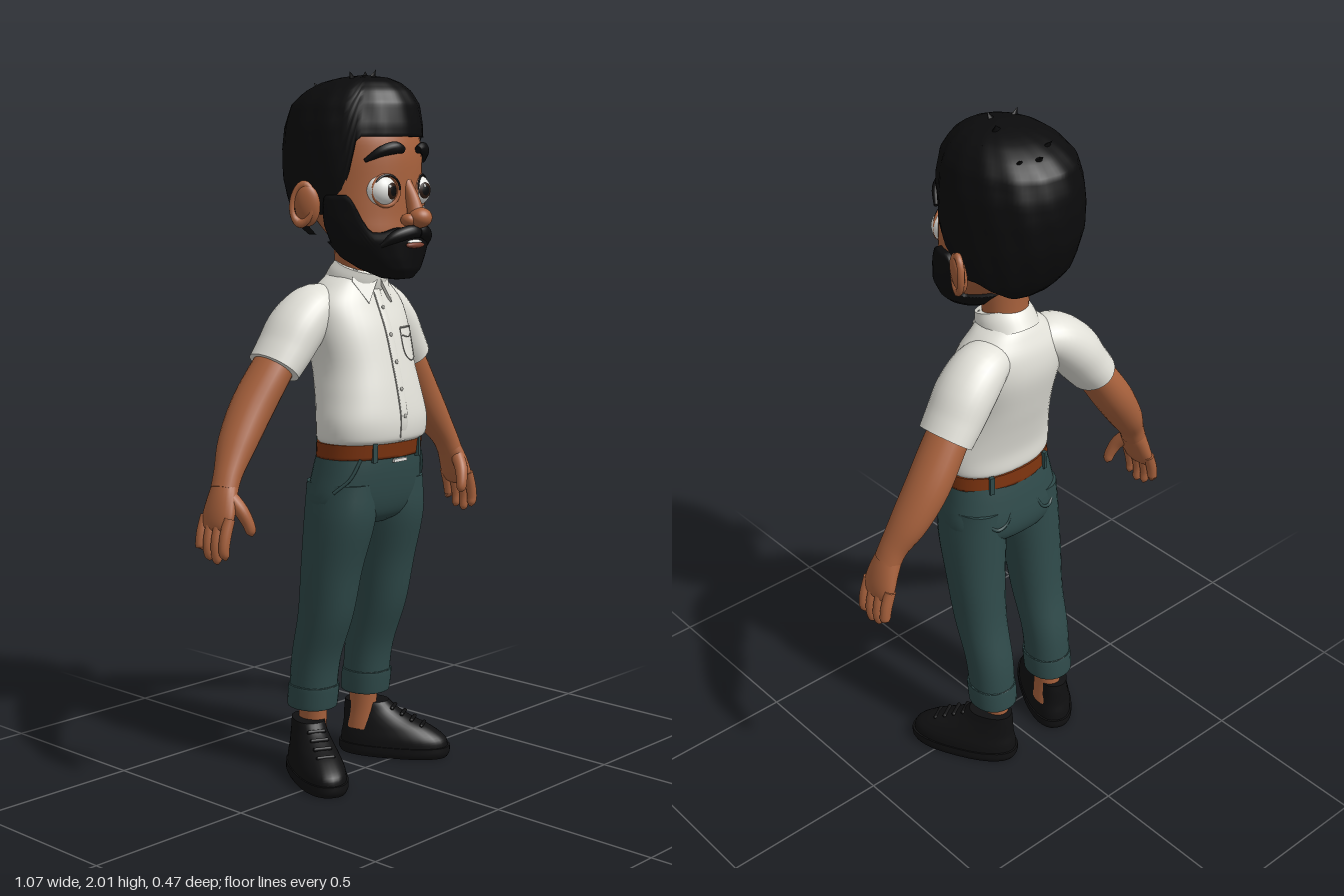
import * as THREE from 'three';

const mat = (name, color, side = THREE.FrontSide) => {
  const m = new THREE.MeshStandardMaterial({ color, side });
  m.name = name;
  return m;
};

// Surface from a grid of points; flip reverses the facing
function gridGeometry(rings, flip, caps) {
  const pos = [], idx = [], n = rings[0].length;
  rings.forEach(r => r.forEach(p => pos.push(p.x, p.y, p.z)));
  const tri = (a, b, c) => flip ? idx.push(a, c, b) : idx.push(a, b, c);
  for (let i = 0; i < rings.length - 1; i++) for (let j = 0; j < n; j++) {
    const k = (j + 1) % n, a = i * n + j, b = i * n + k;
    tri(a, a + n, b);
    tri(b, a + n, b + n);
  }
  if (caps) [rings[0], rings[rings.length - 1]].forEach((r, end) => {
    const base = pos.length / 3, c = new THREE.Vector3();
    r.forEach(p => { c.add(p); pos.push(p.x, p.y, p.z); });
    c.divideScalar(n);
    pos.push(c.x, c.y, c.z);
    for (let j = 0; j < n; j++) {
      const a = base + j, b = base + (j + 1) % n;
      end ? tri(a, base + n, b) : tri(a, b, base + n);
    }
  });
  const g = new THREE.BufferGeometry();
  g.setAttribute('position', new THREE.Float32BufferAttribute(pos, 3));
  g.setIndex(idx);
  g.computeVertexNormals();
  return g;
}

// Smooth loft through rows [x, y, z, sideRadius, depthRadius]; flat keeps rings level
function loft(rows, { flat = false, n = 24, seg = 5, e = 2 } = {}) {
  const path = new THREE.CatmullRomCurve3(rows.map(r => new THREE.Vector3(r[0], r[1], r[2])), false, 'catmullrom', 0.5);
  const size = new THREE.CatmullRomCurve3(rows.map(r => new THREE.Vector3(r[3], r[4], 0)), false, 'catmullrom', 0.5);
  const count = (rows.length - 1) * seg, rings = [], Z = new THREE.Vector3(0, 0, 1);
  const bend = v => Math.sign(v) * Math.abs(v) ** (2 / e);
  for (let i = 0; i <= count; i++) {
    const c = path.getPoint(i / count), s = size.getPoint(i / count), t = path.getTangent(i / count);
    if (flat) t.set(0, Math.sign(t.y), 0);
    const side = new THREE.Vector3().crossVectors(t, Z).normalize();
    const depth = new THREE.Vector3().crossVectors(side, t);
    rings.push(Array.from({ length: n }, (_, j) => {
      const a = j / n * Math.PI * 2;
      return c.clone().addScaledVector(side, s.x * bend(Math.cos(a))).addScaledVector(depth, s.y * bend(Math.sin(a)));
    }));
  }
  return gridGeometry(rings, false, true);
}

// Linear lookup in rows keyed by their first number
function sample(rows, y) {
  let i = 0;
  const up = rows[0][0] < rows[1][0];
  while (i < rows.length - 2 && (up ? rows[i + 1][0] < y : rows[i + 1][0] > y)) i++;
  const t = THREE.MathUtils.clamp((y - rows[i][0]) / (rows[i + 1][0] - rows[i][0]), 0, 1);
  return rows[i].map((v, k) => v + (rows[i + 1][k] - v) * t);
}

// Hair shell from a pole to an edge height that varies around the head; rows [y, rx, cz, rz]
function shell(rows, edge, ridge) {
  const n = 90, m = 26, rings = [], y0 = rows[0][0];
  for (let k = 0; k <= m + 1; k++) rings.push(Array.from({ length: n }, (_, j) => {
    const a = j / n * Math.PI * 2, deg = Math.min(j, n - j) / n * 360;
    const y = y0 + (edge(deg) - y0) * Math.min(k / m, 1) ** 1.6;
    const [, rx, cz, rz] = sample(rows, y);
    const f = (k > m ? 0.82 : 1) * (1 + ridge * Math.sin(a * 15 + y * 22));
    return new THREE.Vector3(rx * f * Math.sin(a), y, cz + rz * f * Math.cos(a));
  }));
  return gridGeometry(rings, rows[1][0] > y0, false);
}

export function createModel() {
  const M = {
    skin: mat('skin', 0xa9623d), hair: mat('black hair', 0x0b0b0c), shirt: mat('off white shirt', 0xe2e1d9),
    seam: mat('shirt seam', 0xa9a8a1), pants: mat('teal trousers', 0x2f4a4a), belt: mat('brown leather', 0x7c330f),
    shoe: mat('black shoe', 0x101011), white: mat('eye white', 0xeeeeea), iris: mat('dark iris', 0x2b1a12),
    lip: mat('lip', 0x7d4030),
  };
  const model = new THREE.Group();
  model.name = 'man';
  const add = (parent, name, geo, material, p = [0, 0, 0], s = [1, 1, 1], r = [0, 0, 0]) => {
    const mesh = new THREE.Mesh(geo, material);
    mesh.name = name;
    mesh.position.set(...p); mesh.scale.set(...s); mesh.rotation.set(...r);
    parent.add(mesh);
    return mesh;
  };
  const ball = new THREE.SphereGeometry(1, 28, 20);
  const group = name => { const g = new THREE.Group(); g.name = name; model.add(g); return g; };
  const smooth = THREE.MathUtils.smoothstep;
  const level = rows => rows.map(([y, rx, cz, rz]) => [0, y, cz, rx, rz]);

  // Head
  const head = group('head');
  head.position.x = -0.013;
  head.rotation.y = 0.06;
  add(head, 'skull', loft(level([[1.47, .06, .1, .05], [1.5, .115, .07, .09], [1.56, .15, .05, .118], [1.62, .164, .02, .146],
    [1.7, .167, 0, .168], [1.78, .166, -.005, .173], [1.84, .162, -.01, .166], [1.91, .13, -.015, .14], [1.95, .06, -.02, .07]]), { flat: true, n: 40 }), M.skin);
  const hair = add(head, 'hair', shell([[2, 0, .01, 0], [1.992, .065, .005, .07], [1.978, .105, -.005, .115], [1.955, .135, -.015, .155], [1.92, .163, -.025, .187],
    [1.86, .182, -.03, .2], [1.8, .187, -.032, .203], [1.72, .186, -.035, .197], [1.66, .18, -.042, .17], [1.6, .165, -.05, .135], [1.55, .13, -.045, .09]],
    d => 1.83 - .21 * smooth(d, 50, 63) - .06 * smooth(d, 95, 150), .008), M.hair);
  hair.rotation.y = 0.03;
  add(head, 'beard', shell([[1.44, 0, .125, 0], [1.445, .045, .125, .043], [1.47, .09, .1, .083], [1.5, .125, .075, .11], [1.55, .16, .055, .133],
    [1.6, .174, .035, .147], [1.68, .181, .015, .16]],
    d => 1.585 - .012 * smooth(d, 18, 40) + .1 * smooth(d, 48, 68) - .13 * smooth(d, 88, 115), .004), M.hair);
  // Hair tufts [x, y, z, tilt back, tilt sideways]
  [[.03, 1.945, -.155, -.9, -.2], [-.02, 1.955, -.13, -.7, .2], [.07, 1.94, -.13, -.8, -.5], [.04, 1.985, -.02, -.5, -.5],
    [-.06, 1.975, .02, .1, .6], [0, 1.98, .03, .3, -.3], [.08, 1.95, -.03, -.3, -.8]].forEach(([x, y, z, rx, rz]) =>
    add(head, 'hairTuft', new THREE.ConeGeometry(.028, .075, 10), M.hair, [x, y, z], [1.2, 1, .7], [rx, 0, rz]));

  // Nose and mouth
  add(head, 'noseBridge', loft([[0, 1.71, .158, .014, .012], [0, 1.66, .18, .019, .02], [0, 1.61, .195, .026, .026]], { n: 16 }), M.skin);
  add(head, 'noseTip', ball, M.skin, [0, 1.612, .206], [.033, .028, .033]);
  add(head, 'lowerLip', ball, M.lip, [0, 1.537, .189], [.038, .009, .012]);
  add(head, 'teeth', ball, M.white, [0, 1.546, .187], [.03, .006, .009]);

  for (const s of [-1, 1]) {
    add(head, 'nostril', ball, M.skin, [s * .028, 1.606, .186], [.019, .018, .022]);
    add(head, 'moustache', loft([[0, 1.572, .198, .016, .014], [s * .03, 1.573, .194, .019, .017], [s * .07, 1.56, .173, .017, .016],
      [s * .1, 1.538, .146, .008, .01]], { n: 14 }), M.hair);
    // Eyes
    const eye = new THREE.Group();
    eye.name = 'eye';
    eye.position.set(s * .077, 1.685, .126);
    head.add(eye);
    const disc = (r, angle) => new THREE.SphereGeometry(r, 24, 8, 0, Math.PI * 2, 0, angle);
    add(eye, 'eyeball', ball, M.white, [0, 0, 0], [.045, .045, .045]);
    const look = [Math.PI / 2 + .02, 0, s * .12];
    add(eye, 'iris', disc(.0458, .52), M.iris, [0, 0, 0], [1, 1, 1], look);
    add(eye, 'pupil', disc(.0464, .3), M.hair, [0, 0, 0], [1, 1, 1], look);
    add(eye, 'highlight', ball, M.white, [-.01, .012, .0435], [.005, .005, .003]);
    add(eye, 'eyelid', new THREE.TorusGeometry(.041, .006, 8, 32), M.skin, [0, 0, .022], [1, 1, 1], [0, s * .35, 0]);
    add(eye, 'lashLine', new THREE.TorusGeometry(.04, .0035, 6, 20, Math.PI), M.hair, [0, .002, .027], [1, 1, 1], [0, s * .35, 0]);
    add(head, 'eyebrow', loft([[s * .033, 1.795, .171, .01, .01], [s * .06, 1.8, .166, .017, .013], [s * .095, 1.79, .147, .015, .012],
      [s * .128, 1.765, .115, .005, .006]], { n: 12 }), M.hair);
    // Ears
    add(head, 'ear', ball, M.skin, [s * .192, 1.645, -.035], [.02, .058, .036], [0, -s * .45, -s * .15]);
    add(head, 'earRim', new THREE.TorusGeometry(.04, .01, 8, 24), M.skin, [s * .203, 1.648, -.043], [.75, 1.3, 1], [0, Math.PI / 2 - s * .45, -s * .12]);
  }

  // Neck and shirt
  add(model, 'neck', loft([[0, 1.38, -.04, .065, .065], [0, 1.47, -.03, .063, .065], [-.01, 1.6, -.015, .075, .08]], { flat: true }), M.skin);
  const torso = [[.985, .165, .02, .115], [1, .175, .024, .123], [1.05, .177, .025, .125], [1.12, .165, .012, .126], [1.2, .155, -.008, .126],
    [1.3, .163, -.033, .122], [1.37, .158, -.046, .105], [1.42, .115, -.046, .084], [1.45, .078, -.04, .072]];
  add(model, 'shirtBody', loft(level(torso), { flat: true, n: 40, e: 2.3 }), M.shirt);
  const front = (x, y) => {
    const [, rx, cz, rz] = sample(torso, y);
    return cz + rz * (1 - Math.abs(x / rx) ** 2.3) ** (1 / 2.3);
  };
  add(model, 'placket', loft([1.41, 1.37, 1.3, 1.2, 1.12, 1.05, .99].map(y => [0, y, front(0, y), .014, .004]), { n: 12 }), M.shirt);
  const line = (name, pts, material, r = .002) => add(model, name,
    new THREE.TubeGeometry(new THREE.CatmullRomCurve3(pts.map(p => new THREE.Vector3(...p))), 24, r, 6), material);
  line('placketSeam', [1.4, 1.37, 1.3, 1.2, 1.12, 1.05, 1].map(y => [-.014, y, front(.014, y) + .001]), M.seam);
  for (let y = 1.06; y < 1.38; y += .075) add(model, 'button', ball, M.seam, [0, y, front(0, y) + .005], [.006, .006, .003]);
  const onChest = pts => pts.map(([x, y]) => [x, y, front(x, y) + .001]);
  line('pocketTop', onChest([[.05, 1.3], [.075, 1.3], [.1, 1.3], [.125, 1.298]]), M.seam, .0025);
  line('pocketFlap', onChest([[.05, 1.28], [.09, 1.272], [.125, 1.28]]), M.seam);
  line('pocketSides', onChest([[.05, 1.3], [.05, 1.23], [.07, 1.21], [.105, 1.21], [.123, 1.23], [.125, 1.298]]), M.seam, .0015);

  // Collar, higher at the nape
  add(model, 'collarBand', loft([[0, 1.415, -.035, .088, .088], [0, 1.45, -.03, .083, .082], [0, 1.475, -.025, .074, .074]], { flat: true, n: 32 }), M.shirt,
    [0, -.008, 0], [1, 1, 1], [0.0, 0, 0]).geometry.translate(0, -1.44, .03).rotateX(.32).translate(0, 1.45, -.03);
  for (const s of [-1, 1]) {
    const flap = new THREE.Shape([[.004, 0], [.062, .045], [.078, .01], [.048, -.062]].map(([x, y]) => new THREE.Vector2(s * x, y)));
    add(model, 'collarFlap', new THREE.ExtrudeGeometry(flap, { depth: .008, bevelEnabled: false }), M.shirt, [0, 1.435, .048], [1, 1, 1], [-.4, s * .45, 0]);
  }

  // Belt and trousers
  add(model, 'belt', loft([[0, .942, .014, .171, .118], [0, .985, .018, .171, .119]], { flat: true, n: 40, e: 2.2 }), M.belt);
  add(model, 'buckle', new THREE.BoxGeometry(.052, .009, .008), M.white, [0, .934, .132]);
  add(model, 'trouserSeat', loft(level([[.97, .163, .015, .112], [.9, .176, .006, .119], [.82, .187, -.006, .118], [.77, .165, -.01, .1], [.745, .1, -.01, .06]]),
    { flat: true, n: 40, e: 2.3 }), M.pants);

  for (const s of [-1, 1]) {
    const tag = s > 0 ? 'left' : 'right';
    const mirror = rows => rows.map(([x, ...r]) => [s * x, ...r]);
    const part = (name, rows, material, opt) => add(model, tag + name, loft(mirror(rows), opt), material);
    part('TrouserLeg', [[.098, .87, 0, .082, .108], [.103, .76, -.004, .088, .108], [.111, .62, -.027, .08, .092], [.113, .48, -.05, .072, .083],
      [.113, .34, -.09, .067, .072], [.113, .2, -.105, .064, .068]], M.pants, { flat: true, e: 2.2 });
    part('TrouserCuff', [[.113, .265, -.098, .067, .071], [.113, .258, -.099, .07, .074], [.113, .205, -.105, .069, .073], [.113, .197, -.105, .066, .07]], M.pants, { flat: true, e: 2.2 });
    line(tag + 'PocketSeam', mirror([[.125, .945, .1], [.15, .89, .082], [.178, .85, .045]]), M.pants, .005);
    line(tag + 'BackPocketSeam', mirror([[.045, .87, -.112], [.07, .83, -.117], [.1, .82, -.113], [.135, .86, -.085]]), M.pants, .005);
    for (const [x, z] of [[.09, .12], [.1, -.088]]) add(model, 'beltLoop', new THREE.BoxGeometry(.014, .055, .012), M.pants, [s * x, .962, z], [1, 1, 1], [0, s * Math.sign(z) * .3, 0]);
    part('Ankle', [[.107, .08, -.115, .042, .05], [.107, .15, -.11, .036, .045], [.11, .24, -.105, .042, .047]], M.skin, { flat: true });

    // Shoe, toes turned out
    const shoe = group(tag + 'Shoe');
    shoe.position.set(s * .167, .005, -.036);
    shoe.rotation.y = s * .5;
    add(shoe, 'sole', loft([[0, -.005, 0, .068, .163], [0, .008, 0, .073, .17], [0, .028, 0, .073, .17]], { flat: true, n: 32, e: 2.4 }), M.shoe);
    add(shoe, 'upper', loft([[0, .02, 0, .07, .165], [0, .05, -.003, .068, .16], [0, .08, -.022, .06, .135], [0, .105, -.05, .053, .105],
      [0, .13, -.072, .047, .082], [0, .155, -.085, .044, .066]], { flat: true, n: 32, e: 2.3 }), M.shoe);
    for (let i = 0; i < 4; i++) add(shoe, 'lace', new THREE.CapsuleGeometry(.006, .045, 4, 8), M.shoe, [0, .088 + i * .016, .088 - i * .03], [1, 1, 1], [0, 0, Math.PI / 2]);

    // Sleeve and arm
    part('Sleeve', [[.06, 1.37, -.068, .05, .06], [.13, 1.355, -.077, .07, .082], [.19, 1.305, -.085, .076, .09], [.235, 1.245, -.09, .071, .088],
      [.27, 1.2, -.094, .066, .085]], M.shirt, { n: 28 });
    part('Arm', [[.2, 1.29, -.09, .05, .06], [.28, 1.185, -.1, .054, .066], [.345, 1.09, -.108, .056, .066], [.405, 1, -.102, .049, .058],
      [.45, .93, -.088, .037, .044], [.472, .885, -.082, .033, .042]], M.skin);
    // Hand
    part('Palm', [[.46, .91, -.085, .032, .038], [.482, .86, -.08, .03, .05], [.498, .815, -.078, .026, .057], [.508, .785, -.078, .018, .05], [.511, .775, -.078, .006, .03]], M.skin);
    [.705, .69, .697, .722].forEach((tip, i) => {
      const z = -.032 - i * .031;
      part('Finger', [[.5, .815, z, .016, .016], [.515, .77, z, .0165, .016], [.521, .735, z, .0155, .015], [.518, tip + .012, z, .013, .013], [.515, tip, z, .004, .004]], M.skin, { n: 12 });
    });
    part('Thumb', [[.478, .875, -.06, .022, .022], [.462, .835, -.028, .02, .02], [.449, .8, -.014, .017, .017], [.442, .775, -.01, .014, .014], [.439, .763, -.009, .004, .004]], M.skin, { n: 14 });
  }
  return model;
}
